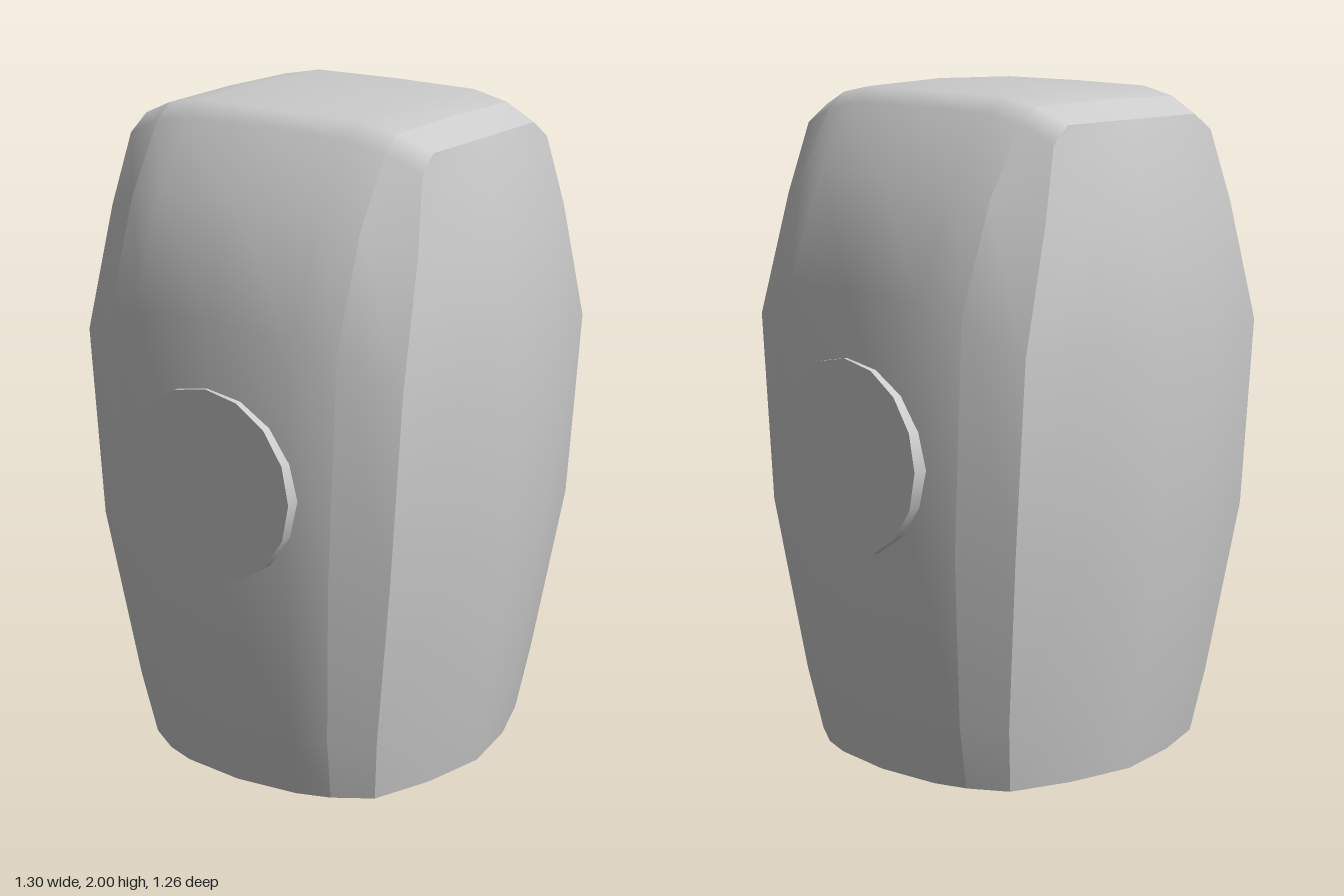
import * as THREE from 'three';

// Height rows of the body, from the base up to the top edge, given as
// [x, y, z] on the +x side at four stations between the corner and the middle.
const corner = [[0.395, 0, 0.41], [0.43, 0.2, 0.44], [0.485, 0.73, 0.52], [0.487, 1.3, 0.56],
  [0.39, 1.66, 0.54], [0.33, 1.87, 0.512], [0.265, 1.92, 0.505]];
const ring = [[0.465, 0, 0.3], [0.51, 0.2, 0.32], [0.575, 0.72, 0.37], [0.575, 1.4, 0.4],
  [0.465, 1.72, 0.4], [0.345, 1.92, 0.4], [0.285, 1.965, 0.4]];
const inner = [[0.5, 0, 0.2], [0.545, 0.2, 0.22], [0.617, 0.72, 0.25], [0.617, 1.43, 0.27],
  [0.485, 1.75, 0.28], [0.355, 1.945, 0.28], [0.295, 1.988, 0.28]];
const middle = [[0.522, 0, 0], [0.565, 0.2, 0], [0.64, 0.71, 0], [0.64, 1.45, 0],
  [0.5, 1.76, 0], [0.362, 1.95, 0], [0.3, 1.99, 0]];
const topY = { corner: 1.92, ring: 1.97, inner: 1.997, middle: 2 };
// Depth of the front panel along its centre line, per row
const panelZ = [0.515, 0.55, 0.62, 0.63, 0.575, 0.52, 0.505];

const grey = new THREE.MeshStandardMaterial({ color: 0xcccccc });
const twoSided = new THREE.MeshStandardMaterial({ color: 0xcccccc, side: THREE.DoubleSide });

// Smooth surface through a grid of points
function gridGeometry(rows) {
  const n = rows[0].length, index = [];
  for (let i = 0; i < rows.length - 1; i++) {
    for (let j = 0; j < n - 1; j++) {
      const a = i * n + j, b = a + n;
      index.push(a, b, a + 1, b, b + 1, a + 1);
    }
  }
  const g = new THREE.BufferGeometry();
  g.setAttribute('position', new THREE.Float32BufferAttribute(rows.flat(2), 3));
  g.setIndex(index);
  g.computeVertexNormals();
  return g;
}

// Arch over the body: up the +x side, across the top, down the -x side
function arch(profile, top, back = false) {
  const s = back ? -1 : 1;
  const half = profile.map(([x, y, z]) => [x, y, s * z]);
  const other = half.map(([x, y, z]) => [-x, y, z]).reverse();
  return [...half, [0, top, half[6][2]], ...other];
}

export function createModel() {
  const group = new THREE.Group();
  const add = (name, geometry, material = grey) => {
    const mesh = new THREE.Mesh(geometry, material);
    mesh.name = name;
    group.add(mesh);
    return mesh;
  };

  // Sides and top
  add('shell', gridGeometry([
    arch(ring, topY.ring), arch(inner, topY.inner), arch(middle, topY.middle),
    arch(inner, topY.inner, true), arch(ring, topY.ring, true),
  ]));

  // Bevel bands and bulging panels, front and back
  const bevel = gridGeometry([arch(corner, topY.corner), arch(ring, topY.ring)]);
  const panel = gridGeometry(corner.map(([x, y, z], i) =>
    [1, 0.53, 0, -0.53, -1].map((f) => {
      const bulge = f === 0 ? 1 : Math.abs(f) < 1 ? 0.64 : 0;
      return [x * f, y, z + (panelZ[i] - z) * bulge];
    })));
  for (const [side, turn] of [['front', 0], ['back', Math.PI]]) {
    add(side + 'Bevel', bevel).rotation.y = turn;
    add(side + 'Panel', panel).rotation.y = turn;
  }

  // Base rim with a round socket
  const radius = 0.475, depth = 0.12;
  const quarter = [middle, inner, ring, corner].map((p) => [p[0][0], p[0][2]]);
  quarter.push([0.53 * corner[0][0], 0.41 + 0.105 * 0.64], [0, panelZ[0]]);
  const mirrored = quarter.slice(0, -1).reverse().map(([x, z]) => [-x, z]);
  const halfLoop = [...quarter, ...mirrored];
  const loop = [...halfLoop, ...halfLoop.slice(1, -1).reverse().map(([x, z]) => [x, -z])];
  const base = new THREE.Shape(loop.map(([x, z]) => new THREE.Vector2(x, z)));
  base.holes.push(new THREE.Path().absarc(0, 0, radius, 0, Math.PI * 2, true));
  add('baseRim', new THREE.ShapeGeometry(base, 12).rotateX(Math.PI / 2));
  add('socketWall', new THREE.CylinderGeometry(radius, radius, depth, 24, 1, true)
    .translate(0, depth / 2, 0), twoSided);
  add('socketCeiling', new THREE.CircleGeometry(radius, 24).rotateX(Math.PI / 2)
    .translate(0, depth, 0), twoSided);

  // Round side discs
  for (const [name, s] of [['leftDisc', 1], ['rightDisc', -1]]) {
    add(name, new THREE.CylinderGeometry(0.288, 0.288, 0.1, 16).rotateZ(Math.PI / 2)
      .translate(s * 0.6, 0.965, 0));
  }
  return group;
}
